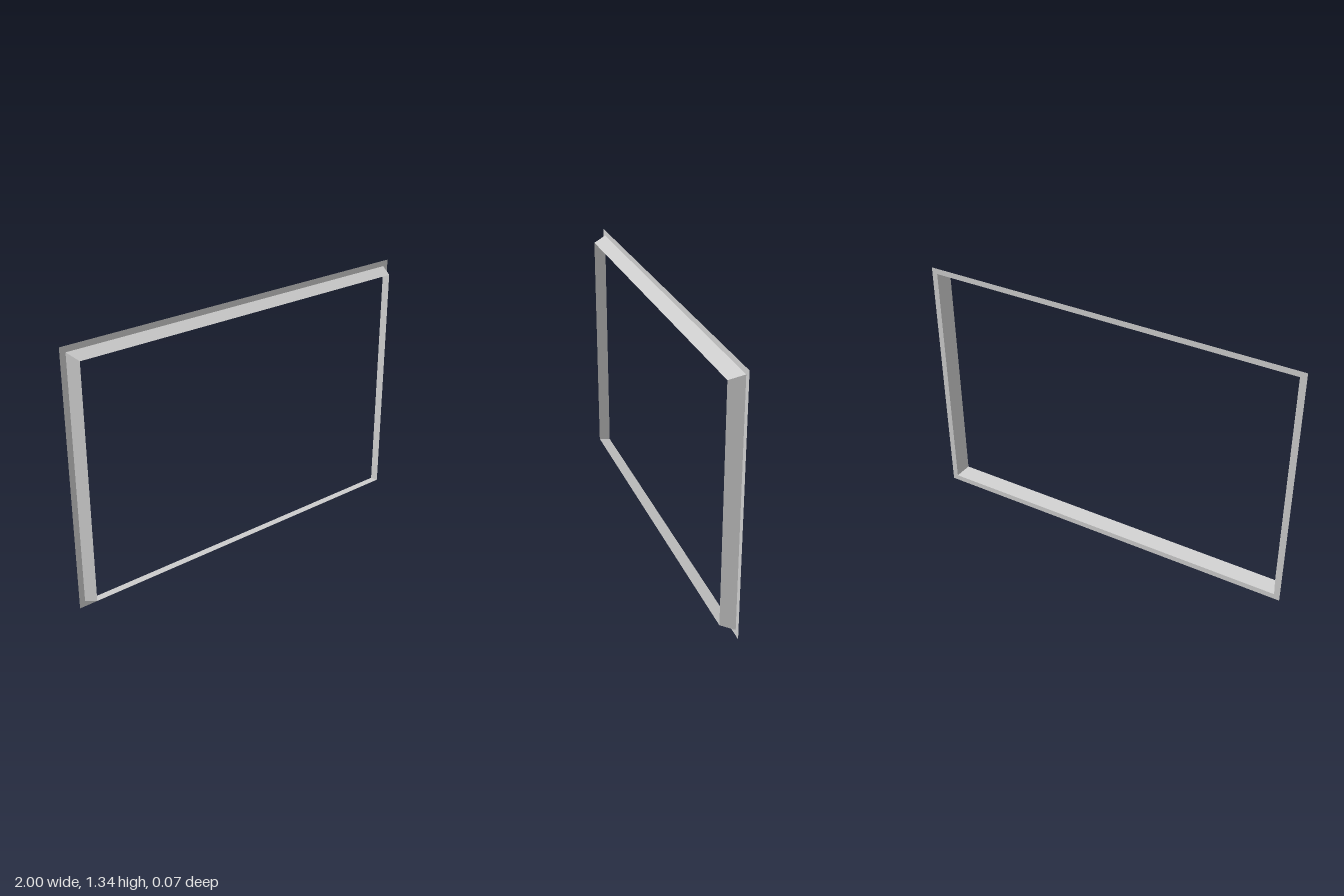
import * as THREE from 'three';

const HEIGHT = 1.335, BACK = -0.035, FRONT = 0.035;
const material = new THREE.MeshStandardMaterial({ color: 0xcccccc, flatShading: true, side: THREE.DoubleSide });

// Corners of the outline moved inwards by inset, counter-clockwise from the front
function corners(inset, z) {
  const x = 1 - inset, bottom = inset, top = HEIGHT - inset;
  return [[-x, bottom, z], [x, bottom, z], [x, top, z], [-x, top, z]];
}

// Four mitred strips joining an outer rectangle to an inner one
function mitredBand(name, outer, inner) {
  const positions = [];
  for (let i = 0; i < 4; i++) {
    const j = (i + 1) % 4;
    positions.push(...outer[i], ...outer[j], ...inner[j]);
    positions.push(...outer[i], ...inner[j], ...inner[i]);
  }
  const geometry = new THREE.BufferGeometry();
  geometry.setAttribute('position', new THREE.Float32BufferAttribute(positions, 3));
  geometry.computeVertexNormals();
  const mesh = new THREE.Mesh(geometry, material);
  mesh.name = name;
  return mesh;
}

export function createModel() {
  const group = new THREE.Group();
  group.name = 'rectangularFrame';
  // Flat rim at the back
  group.add(mitredBand('backFlange', corners(0, BACK), corners(0.03, BACK)));
  // Sloping sides that narrow towards the open front
  group.add(mitredBand('slopingSides', corners(0.03, BACK), corners(0.056, FRONT)));
  return group;
}
